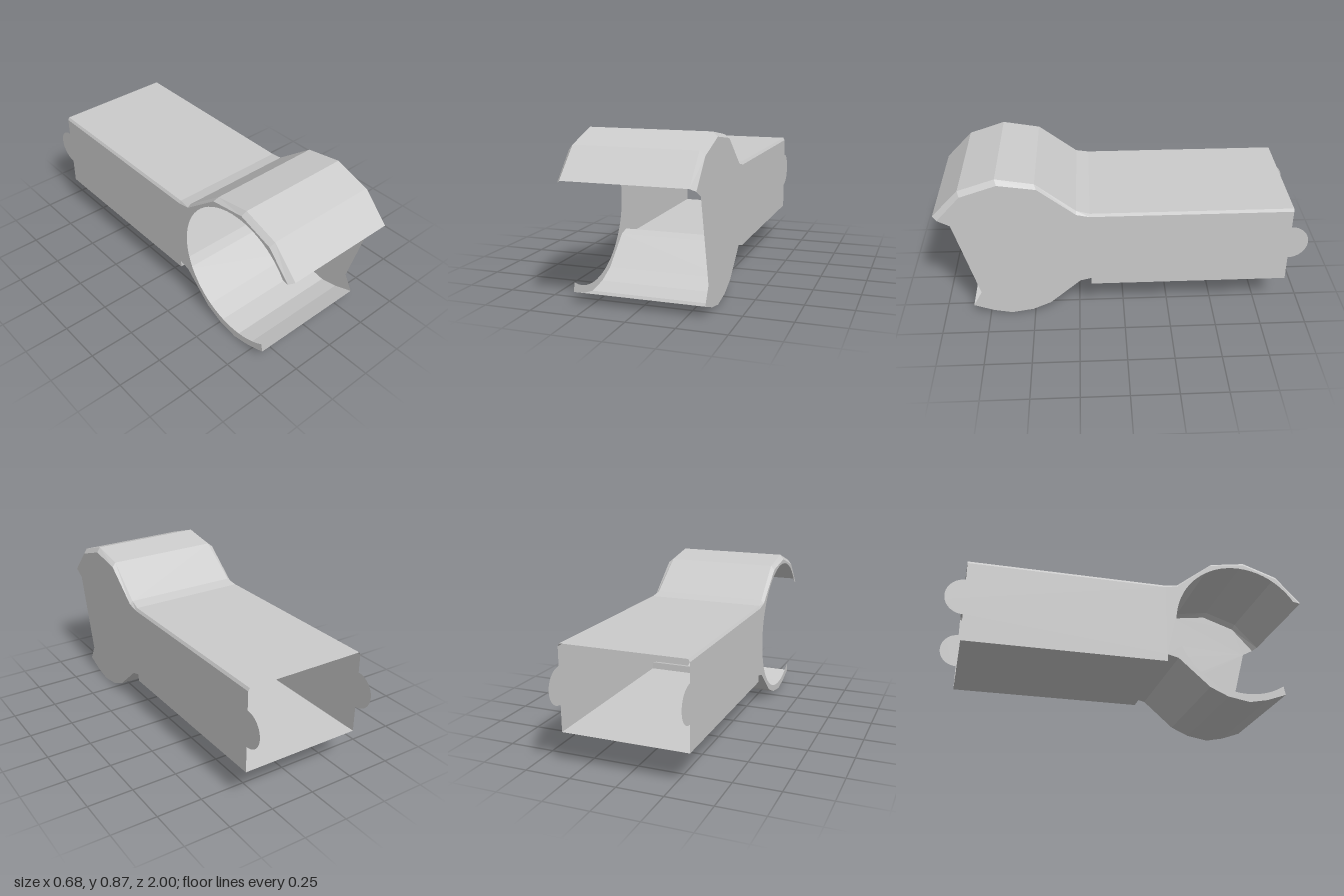
import * as THREE from 'three';

const W = 0.342; // half width of the sheet body

// Profiles as [z, y], from front tip to back end
const crown = [[1, 0.65], [0.855, 0.8], [0.66, 0.865], [0.46, 0.83], [0.25, 0.665], [0.18, 0.65], [-0.9, 0.65]];
const rim = [[0.975, 0.635], [0.845, 0.775], [0.65, 0.84], [0.45, 0.81], [0.25, 0.65], [0.18, 0.635], [-0.9, 0.635]];
const crownHalf = [0.318, 0.318, 0.318, 0.318, 0.325, 0.333, 0.333];
const floor = [[0.84, 0.06], [0.73, 0.02], [0.63, 0], [0.51, 0.02], [0.41, 0.065], [0.24, 0.215], [0.18, 0.23], [0.18, 0.19], [-0.9, 0.19]];

const material = new THREE.MeshStandardMaterial({ color: 0xcccccc, flatShading: true, side: THREE.DoubleSide });

// Sheet stretched between neighbouring cross-section rows of [x, y, z] points
function loft(rows) {
  const pos = [];
  for (let i = 0; i < rows.length - 1; i++) {
    for (let j = 0; j < rows[i].length - 1; j++) {
      const a = rows[i][j], b = rows[i][j + 1], c = rows[i + 1][j + 1], d = rows[i + 1][j];
      pos.push(...a, ...b, ...c, ...a, ...c, ...d);
    }
  }
  const g = new THREE.BufferGeometry();
  g.setAttribute('position', new THREE.Float32BufferAttribute(pos, 3));
  g.computeVertexNormals();
  return g;
}

// Side wall: floor line, mouth edge, roof line and rounded back tab
function wall(x, drawMouth) {
  const s = new THREE.Shape();
  s.moveTo(-0.9, 0.19);
  for (const [z, y] of [...floor].reverse().slice(1)) s.lineTo(z, y);
  drawMouth(s);
  for (const [z, y] of rim) s.lineTo(z, y);
  s.lineTo(-0.9, 0.535);
  s.absarc(-0.9, 0.435, 0.1, Math.PI / 2, Math.PI * 1.5, false);
  s.closePath();
  const g = new THREE.ShapeGeometry(s, 24);
  g.rotateY(-Math.PI / 2);
  g.translate(x, 0, 0);
  return g;
}

export function createModel() {
  const group = new THREE.Group();
  const add = (name, geometry) => {
    const mesh = new THREE.Mesh(geometry, material);
    mesh.name = name;
    group.add(mesh);
  };

  // Roof and upper jaw with bevelled long edges
  add('roofAndUpperJaw', loft(crown.map(([z, y], i) => {
    const [rz, ry] = rim[i], h = crownHalf[i];
    return [[-W, ry, rz], [-h, y, z], [h, y, z], [W, ry, rz]];
  })));

  // Floor and lower jaw, with the small step at the neck
  add('floorAndLowerJaw', loft(floor.map(([z, y]) => [[W, y, z], [-W, y, z]])));

  // Closed cheek on the left
  add('leftWall', wall(W, (s) => {
    s.lineTo(0.79, 0.15);
    s.lineTo(0.91, 0.6);
  }));

  // Right wall, cut away by a round opening that leaves a narrow flange
  add('rightWall', wall(-W, (s) => {
    s.absarc(0.62, 0.43, 0.385, -0.99, 0.58 - Math.PI * 2, true);
  }));

  return group;
}
